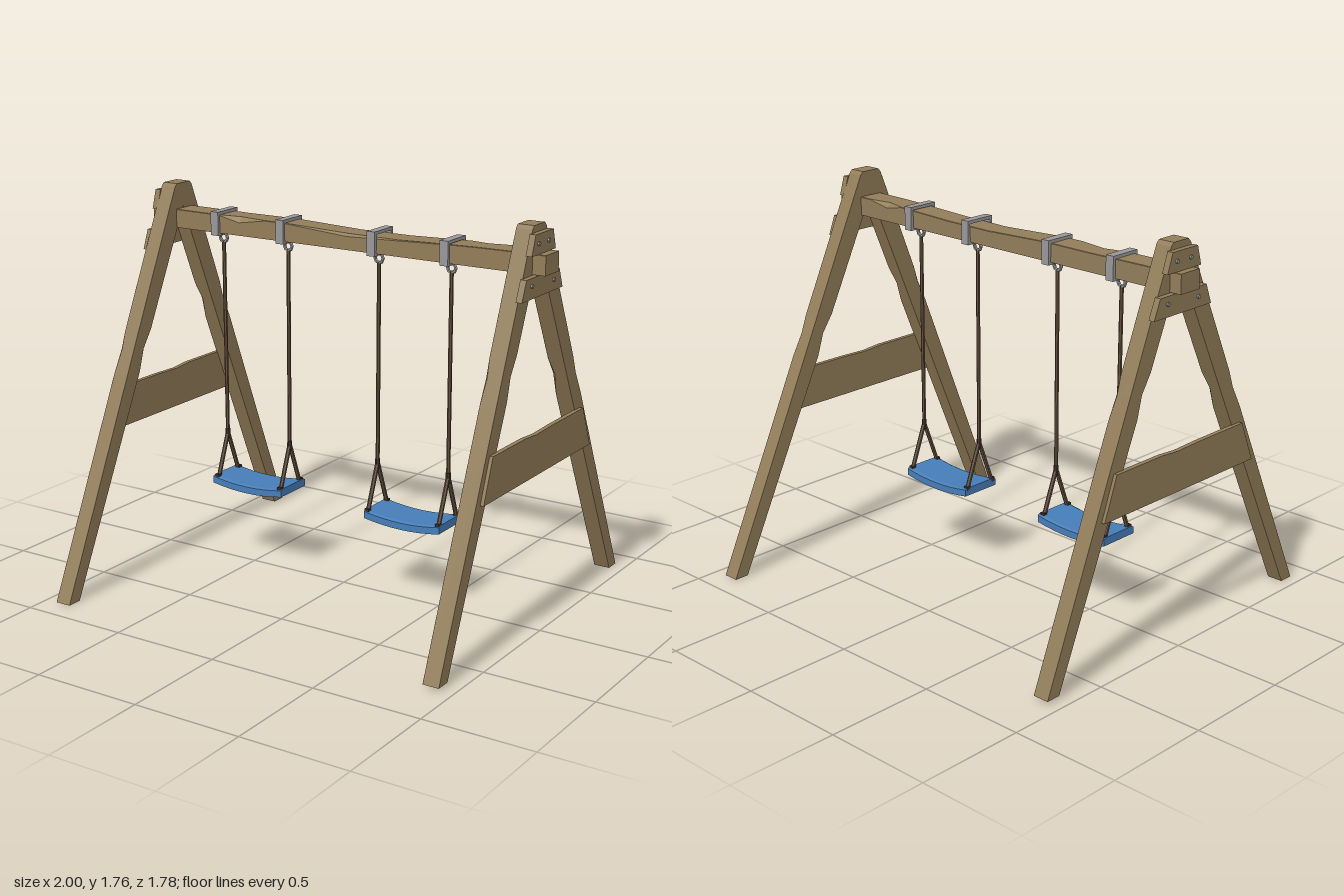
import * as THREE from 'three';

const mat = (name, color) => {
  const m = new THREE.MeshStandardMaterial({ color, flatShading: true });
  m.name = name;
  return m;
};

// Skin a list of rings, each counter-clockwise about the direction of travel
function loft(rings) {
  const pos = [], n = rings[0].length, last = rings[rings.length - 1];
  const tri = (...pts) => pts.forEach(p => pos.push(...p));
  for (let i = 0; i < rings.length - 1; i++) {
    for (let j = 0; j < n; j++) {
      const k = (j + 1) % n;
      const a = rings[i][j], b = rings[i][k], c = rings[i + 1][k], d = rings[i + 1][j];
      tri(a, b, c);
      tri(a, c, d);
    }
  }
  for (let j = 1; j < n - 1; j++) {
    tri(rings[0][0], rings[0][j + 1], rings[0][j]);
    tri(last[0], last[j], last[j + 1]);
  }
  const g = new THREE.BufferGeometry();
  g.setAttribute('position', new THREE.Float32BufferAttribute(pos, 3));
  g.computeVertexNormals();
  return g;
}

export function createModel() {
  const wood = mat('wood', 0x927d59);
  const metal = mat('metal', 0x98989a);
  const rope = mat('rope', 0x634d3c);
  const knotMat = mat('dark rope', 0x3d3029);
  const blue = mat('blue seat', 0x467db8);
  const model = new THREE.Group();
  model.name = 'swingSet';

  const add = (parent, name, geo, material, x = 0, y = 0, z = 0) => {
    const m = new THREE.Mesh(geo, material);
    m.name = name;
    m.position.set(x, y, z);
    parent.add(m);
    return m;
  };

  // Leg leaning toward +z, with level ends and an axe chip on two corners
  function legGeometry(outer, inner, footY, chipY) {
    const h = 0.0375, topY = 1.76;
    const ys = [footY, chipY - 0.1, chipY, chipY + 0.08, 1.745, topY];
    return loft(ys.map((y, i) => {
      const t = (y - footY) / (topY - footY);
      const trim = i === 5 ? 0.008 : 0;
      const o = THREE.MathUtils.lerp(outer, 0.055, t) - trim;
      const n = THREE.MathUtils.lerp(inner, -0.05, t) + trim;
      const c = i === 2 ? 0.018 : 0.001;
      return [[h, y, n + c], [h - c, y, n], [-h, y, n],
        [-h, y, o - c / 2], [-h + c / 2, y, o], [h, y, o]];
    }));
  }

  // Plate on the outer face of a frame; outline points are [z, y]
  function plate(parent, name, outline, x0, x1) {
    const s = new THREE.Shape(outline.map(([z, y]) => new THREE.Vector2(-z, y)));
    const g = new THREE.ExtrudeGeometry(s, { depth: x1 - x0, bevelEnabled: false });
    g.rotateY(Math.PI / 2);
    add(parent, name, g, wood, x0);
  }

  // End frames: the second is the first turned half way round
  [0, Math.PI].forEach((turn, i) => {
    const f = new THREE.Group();
    f.name = i ? 'rightFrame' : 'leftFrame';
    add(f, 'shortLeg', legGeometry(0.76, 0.69, 0.015, 1.17), wood);
    add(f, 'longLeg', legGeometry(0.89, 0.82, 0, 1.05), wood).rotation.y = Math.PI;
    plate(f, 'crossBoard', [[0.45, 0.69], [-0.52, 0.69], [-0.44, 0.877], [-0.14, 0.876],
      [0, 0.872], [0.1, 0.88], [0.38, 0.88]], 0.032, 0.053);
    plate(f, 'lowerGusset', [[0.186, 1.47], [-0.176, 1.47], [-0.142, 1.557], [0.15, 1.557]], 0.034, 0.062);
    plate(f, 'upperGusset', [[0.11, 1.645], [-0.102, 1.645], [-0.077, 1.73], [0.08, 1.73]], 0.034, 0.062);
    for (const [z, y] of [[0.105, 1.525], [-0.09, 1.516], [0.055, 1.69], [-0.032, 1.69]]) {
      add(f, 'bolt', new THREE.CylinderGeometry(0.009, 0.009, 0.012, 6), metal, 0.064, y, z)
        .rotation.z = -Math.PI / 2;
    }
    f.position.x = i ? -0.907 : 0.903;
    f.rotation.y = turn;
    model.add(f);
  });

  // Top beam: [x, top y, front chip, back chip]
  const beam = [
    [-1, 1.645, 0.002, 0.002], [-0.63, 1.643, 0.002, 0.002], [-0.52, 1.642, 0.024, 0.002],
    [-0.38, 1.643, 0.002, 0.002], [-0.27, 1.643, 0.002, 0.002], [0.05, 1.631, 0.012, 0.002],
    [0.3, 1.632, 0.004, 0.002], [0.6, 1.642, 0.002, 0.002], [0.69, 1.644, 0.002, 0.022],
    [0.8, 1.645, 0.002, 0.002], [1, 1.645, 0.002, 0.002],
  ];
  add(model, 'topBeam', loft(beam.map(([x, t, c, b]) => [
    [x, 1.56, -0.063], [x, t - b, -0.063], [x, t, -0.063 + b],
    [x, t, 0.055 - c], [x, t - c, 0.055], [x, 1.56, 0.055],
  ])), wood);

  // Clamp around the beam with a hanging ring
  function clamp(parent, x) {
    const g = new THREE.Group();
    g.name = 'clamp';
    const box = (h, d, y, z) => add(g, 'clampBand', new THREE.BoxGeometry(0.04, h, d), metal, 0, y, z);
    box(0.014, 0.15, 1.65, -0.005);
    box(0.012, 0.15, 1.556, -0.005);
    box(0.1, 0.014, 1.603, 0.063);
    box(0.1, 0.014, 1.603, -0.073);
    add(g, 'ring', new THREE.TorusGeometry(0.02, 0.008, 6, 8), metal, 0, 1.53, 0);
    g.position.x = x;
    parent.add(g);
  }

  const strand = (parent, name, a, b, r) => {
    const p = new THREE.Vector3(...a), q = new THREE.Vector3(...b);
    const m = add(parent, name, new THREE.CylinderGeometry(r, r, p.distanceTo(q), 6), rope);
    m.position.copy(p).add(q).multiplyScalar(0.5);
    m.quaternion.setFromUnitVectors(new THREE.Vector3(0, 1, 0), q.sub(p).normalize());
  };

  // Swings: clamps, ropes that fork above the seat, and a sagging seat
  const swings = [
    { name: 'rightSwing', tops: [-0.645, -0.292], feet: [-0.643, -0.294], y: 0.367, x: -0.47 },
    { name: 'leftSwing', tops: [0.18, 0.537], feet: [0.178, 0.537], y: 0.357, x: 0.358 },
  ];
  for (const s of swings) {
    const g = new THREE.Group();
    g.name = s.name;
    s.tops.forEach((x, i) => {
      const foot = s.feet[i];
      clamp(g, x);
      strand(g, 'rope', [x, 1.515, 0], [foot, 0.6, 0], 0.009);
      add(g, 'knot', new THREE.CylinderGeometry(0.011, 0.012, 0.045, 6), knotMat, foot, 0.605, 0);
      for (const side of [-1, 1]) {
        strand(g, 'ropeFork', [foot, 0.6, side * 0.004], [foot, 0.41, side * 0.076], 0.01);
        add(g, 'ropeEnd', new THREE.BoxGeometry(0.022, 0.02, 0.02), knotMat, foot, s.y + 0.05, side * 0.08);
      }
    });
    const rings = [];
    for (let i = 0; i <= 8; i++) {
      const u = i / 4 - 1, x = s.x + u * 0.191, y = s.y + 0.018 * u * u, t = y + 0.037;
      rings.push([[x, y, -0.1], [x, t - 0.006, -0.1], [x, t, -0.088],
        [x, t, 0.083], [x, t - 0.006, 0.095], [x, y, 0.095]]);
    }
    add(g, 'seat', loft(rings), blue);
    model.add(g);
  }
  return model;
}
